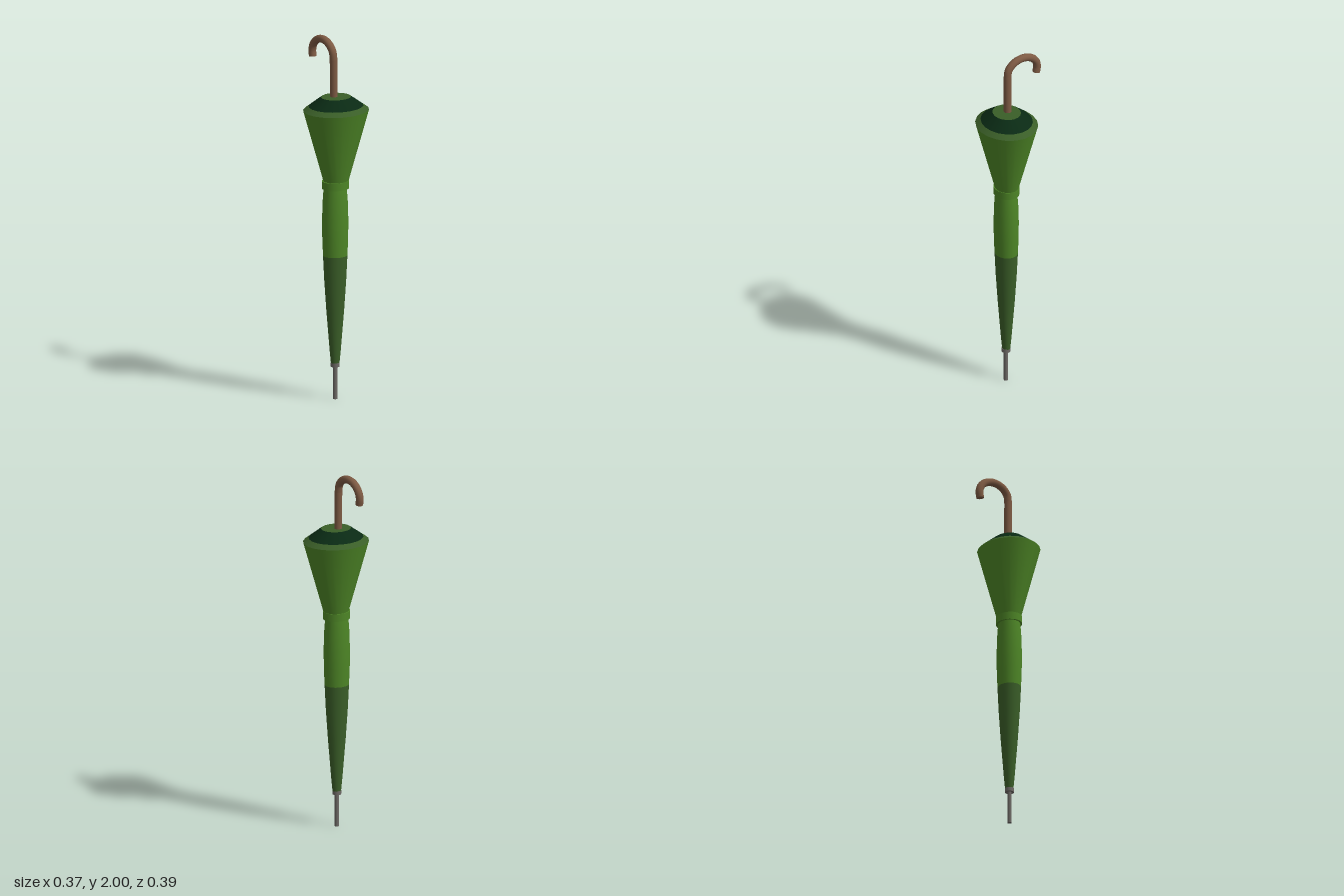
import * as THREE from 'three';

export function createModel() {
  const model = new THREE.Group();
  model.name = 'closedUmbrella';

  const mat = (name, color) => {
    const m = new THREE.MeshStandardMaterial({ color });
    m.name = name;
    return m;
  };
  const brightGreen = mat('brightGreen', 0x4d8526);
  const mossGreen = mat('mossGreen', 0x3a5e28);
  const deepGreen = mat('deepGreen', 0x0a2a14);
  const wood = mat('wood', 0x7d5a43);
  const metal = mat('metal', 0x6e6a66);

  const add = (name, geometry, material, parent) => {
    const mesh = new THREE.Mesh(geometry, material);
    mesh.name = name;
    parent.add(mesh);
    return mesh;
  };

  // Folded cloth: slightly oval turned sections, profile as [radius, height]
  const cloth = new THREE.Group();
  cloth.name = 'foldedCanopy';
  cloth.scale.z = 0.895;
  cloth.position.z = 0.031;
  model.add(cloth);
  const turned = (name, profile, material, x = 0) => {
    const points = profile.map(([r, y]) => new THREE.Vector2(r, y));
    add(name, new THREE.LatheGeometry(points, 20), material, cloth).position.x = x;
  };
  turned('lowerCloth', [[0.024, 0.2], [0.031, 0.27], [0.05, 0.5], [0.061, 0.66], [0.068, 0.8]], mossGreen, -0.005);
  turned('middleCloth', [[0.068, 0.8], [0.072, 0.9], [0.073, 1.0], [0.07, 1.1], [0.064, 1.18]], brightGreen, -0.005);
  turned('upperCloth', [[0.069, 1.21], [0.183, 1.61]], brightGreen);
  turned('clothRim', [[0.183, 1.61], [0.152, 1.632]], mossGreen);
  turned('innerShoulder', [[0.152, 1.632], [0.083, 1.682]], deepGreen);
  turned('topDisk', [[0.083, 1.682], [0, 1.682]], mossGreen);

  // Strap around the neck
  turned('strap', [[0.076, 1.174], [0.076, 1.216]], brightGreen, -0.003);
  turned('strapUnderside', [[0.055, 1.174], [0.076, 1.174]], brightGreen, -0.003);
  turned('strapTop', [[0.076, 1.216], [0.055, 1.216]], brightGreen, -0.003);

  // Metal tip and its collar
  const cylinder = (name, r, y0, y1, material, z) => {
    const mesh = add(name, new THREE.CylinderGeometry(r, r, y1 - y0, 16), material, model);
    mesh.position.set(-0.006, (y0 + y1) / 2, z);
  };
  cylinder('tip', 0.012, 0, 0.19, metal, 0.032);
  cylinder('tipCollar', 0.024, 0.18, 0.202, metal, 0.032);

  // Crook handle: straight shaft followed by a bent hook
  const handlePath = new THREE.CurvePath();
  const base = new THREE.Vector3(-0.007, 1.66, 0.021);
  const bend = new THREE.Vector3(-0.009, 1.885, 0.021);
  handlePath.add(new THREE.LineCurve3(base, bend));
  const hook = [bend];
  for (let i = 1; i <= 8; i++) {
    const a = (i / 8) * Math.PI;
    hook.push(new THREE.Vector3(
      -0.009 - 0.012 * (i / 8),
      1.898 + 0.081 * Math.sin(a),
      -0.076 + 0.097 * Math.cos(a)
    ));
  }
  const end = new THREE.Vector3(-0.021, 1.864, -0.168);
  hook.push(end);
  handlePath.add(new THREE.CatmullRomCurve3(hook));
  add('handle', new THREE.TubeGeometry(handlePath, 64, 0.021, 16), wood, model);

  // Flat cap closing the hook
  const cap = add('handleEnd', new THREE.CircleGeometry(0.021, 16), wood, model);
  cap.position.copy(end);
  cap.quaternion.setFromUnitVectors(new THREE.Vector3(0, 0, 1), handlePath.getTangent(1));

  return model;
}
